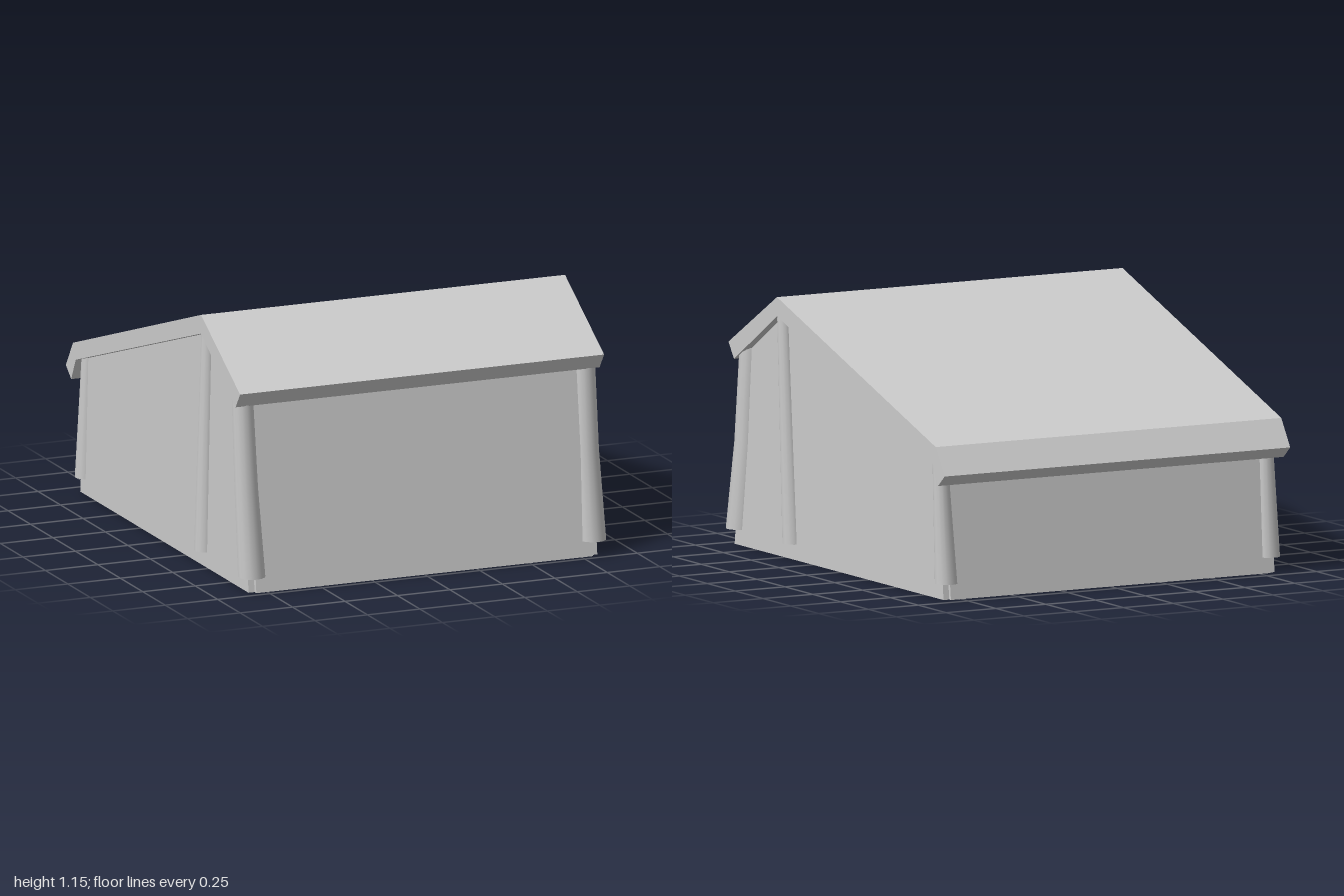
import * as THREE from 'three';

const material = new THREE.MeshStandardMaterial({ color: 0xcccccc });

// Extrudes a [z, y] profile along x, centred on the given x.
function panel(name, profile, width, x = 0) {
  const shape = new THREE.Shape(profile.map(([z, y]) => new THREE.Vector2(z, y)));
  const geometry = new THREE.ExtrudeGeometry(shape, { depth: width, bevelEnabled: false });
  geometry.translate(0, 0, -width / 2).rotateY(-Math.PI / 2).translate(x, 0, 0);
  const mesh = new THREE.Mesh(geometry, material);
  mesh.name = name;
  return mesh;
}

// Leaning, tapering post with level ends; each ring is [x, y, z, radius], bottom to top.
function post(name, rings, side) {
  const rows = rings.length - 1;
  const geometry = new THREE.CylinderGeometry(1, 1, 1, 14, rows);
  const p = geometry.attributes.position;
  for (let i = 0; i < p.count; i++) {
    const [x, y, z, r] = rings[Math.round((p.getY(i) + 0.5) * rows)];
    p.setXYZ(i, side * x + p.getX(i) * r, y, z + p.getZ(i) * r);
  }
  const mesh = new THREE.Mesh(geometry, material);
  mesh.name = name;
  return mesh;
}

export function createModel() {
  const model = new THREE.Group();
  model.name = 'shelter';

  // Thick bent roof: short front slope, long rear slope, turned-down rear eave
  model.add(panel('roof', [
    [0.94, 0.9], [0.505, 1.155], [-0.92, 0.68], [-1, 0.56],
    [-0.94, 0.51], [-0.89, 0.61], [0.505, 1.07], [0.89, 0.83],
  ], 1.735));

  // Leaning front and rear walls
  model.add(panel('frontWall', [[0.97, 0], [0.855, 0.87], [0.825, 0.89], [0.94, 0]], 1.605));
  model.add(panel('rearWall', [[-0.94, 0], [-0.87, 0.635], [-0.84, 0.645], [-0.91, 0]], 1.605));

  const sideProfile = [[0.95, 0], [0.835, 0.88], [0.505, 1.09], [-0.855, 0.64], [-0.925, 0]];
  for (const side of [1, -1]) {
    const label = side > 0 ? 'left' : 'right';
    // Gabled side wall
    model.add(panel(label + 'Wall', sideProfile, 0.03, side * 0.816));
    // Front corner post with a slight bend, ridge post and rear corner post
    model.add(post(label + 'FrontPost', [
      [0.812, 0.07, 0.94, 0.061], [0.812, 0.46, 0.88, 0.053], [0.815, 0.905, 0.838, 0.047],
    ], side));
    model.add(post(label + 'RidgePost', [
      [0.82, 0.07, 0.44, 0.05], [0.83, 1.1, 0.505, 0.033],
    ], side));
    model.add(post(label + 'RearPost', [
      [0.81, 0.07, -0.91, 0.05], [0.815, 0.65, -0.862, 0.033],
    ], side));
  }
  return model;
}
